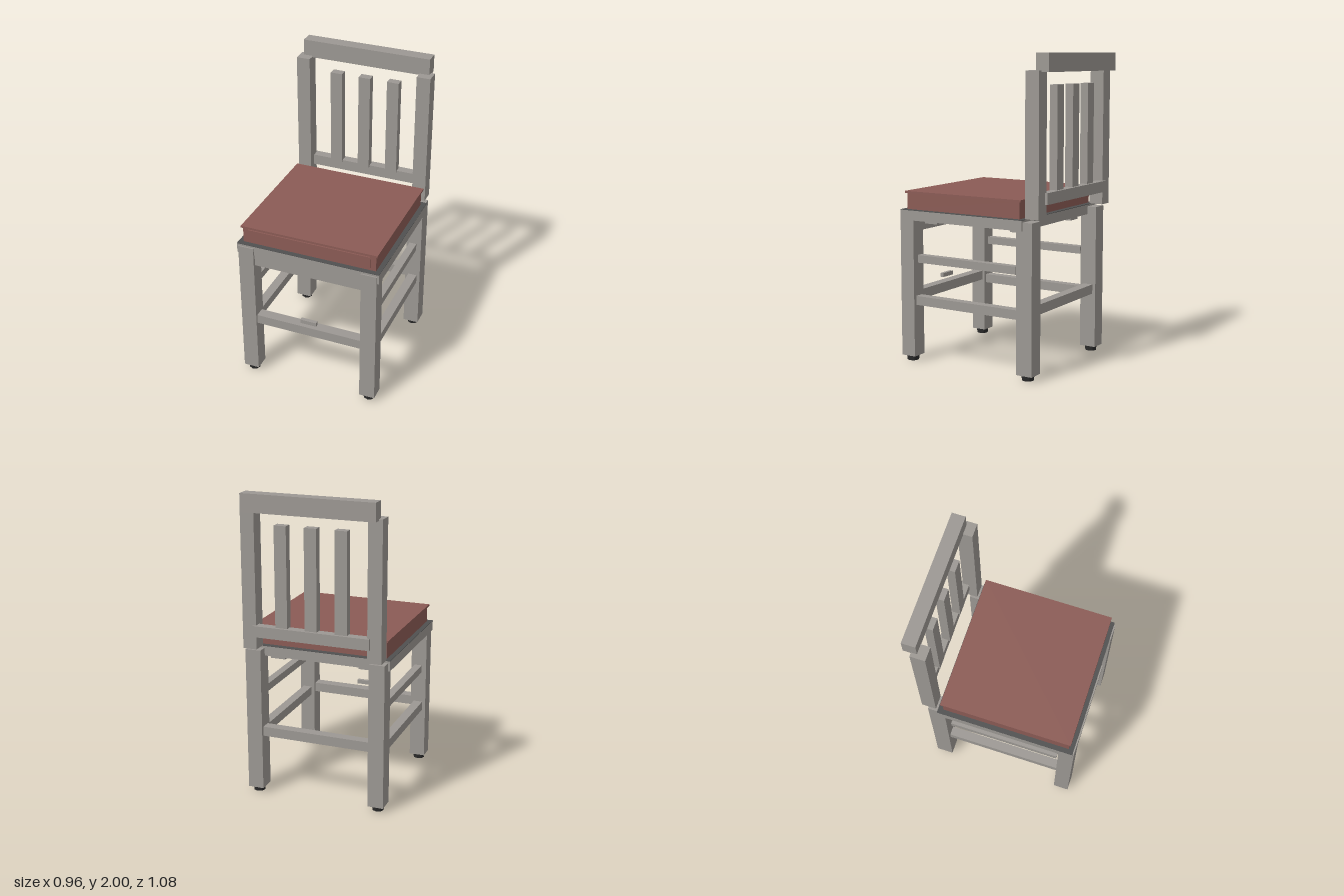
import * as THREE from 'three';

export function createModel() {
  const model = new THREE.Group();
  model.name = 'chair';

  const material = (name, color) => {
    const m = new THREE.MeshStandardMaterial({ color });
    m.name = name;
    return m;
  };
  const wood = material('greyWood', 0x9c9893);
  const fabric = material('redFabric', 0x8b5b55);
  const trim = material('darkTrim', 0x505050);
  const rubber = material('blackRubber', 0x2b2b2b);

  // Box given by its extents on each axis
  const box = (name, mat, [x0, x1], [y0, y1], [z0, z1]) => {
    const mesh = new THREE.Mesh(new THREE.BoxGeometry(x1 - x0, y1 - y0, z1 - z0), mat);
    mesh.position.set((x0 + x1) / 2, (y0 + y1) / 2, (z0 + z1) / 2);
    mesh.name = name;
    model.add(mesh);
    return mesh;
  };
  // Box repeated on both sides of the chair
  const pair = (name, mat, [x0, x1], y, z) => {
    box(name + 'Left', mat, [x0, x1], y, z);
    box(name + 'Right', mat, [-x1, -x0], y, z);
  };

  // Legs
  pair('frontLeg', wood, [0.362, 0.466], [0.035, 0.987], [0.438, 0.54]);
  pair('backLeg', wood, [0.362, 0.466], [0.035, 0.987], [-0.447, -0.335]);

  // Round feet
  const footShape = new THREE.CylinderGeometry(0.042, 0.038, 0.036, 8).toNonIndexed();
  footShape.computeVertexNormals();
  for (const x of [-0.414, 0.414]) {
    for (const z of [0.49, -0.391]) {
      const foot = new THREE.Mesh(footShape, rubber);
      foot.position.set(x, 0.018, z);
      foot.name = 'foot';
      model.add(foot);
    }
  }

  // Stretchers between the legs
  box('frontStretcher', wood, [-0.364, 0.364], [0.4, 0.463], [0.455, 0.525]);
  box('backStretcher', wood, [-0.364, 0.364], [0.4, 0.463], [-0.425, -0.36]);
  pair('lowerSideStretcher', wood, [0.384, 0.444], [0.377, 0.436], [-0.336, 0.439]);
  pair('upperSideStretcher', wood, [0.389, 0.439], [0.656, 0.706], [-0.315, 0.425]);
  box('stretcherPlate', wood, [-0.055, 0.055], [0.485, 0.512], [0.497, 0.522]);

  // Seat frame, front apron and corner blocks
  box('seatFrame', wood, [-0.478, 0.478], [0.935, 0.999], [-0.382, 0.531]);
  box('seatTrim', trim, [-0.478, 0.478], [0.999, 1.002], [-0.382, 0.531]);
  box('frontApron', wood, [-0.364, 0.364], [0.855, 0.936], [0.46, 0.522]);
  pair('frontCornerBlock', wood, [0.25, 0.35], [0.9, 0.936], [0.335, 0.43]);
  pair('backCornerBlock', wood, [0.25, 0.35], [0.9, 0.936], [-0.315, -0.22]);

  // Cushion with overhanging top and front panel
  box('cushionBody', fabric, [-0.446, 0.446], [1.002, 1.107], [-0.347, 0.498]);
  box('cushionTop', fabric, [-0.457, 0.457], [1.107, 1.12], [-0.36, 0.508]);
  box('cushionFrontPanel', fabric, [-0.41, 0.41], [1.022, 1.098], [0.497, 0.506]);

  // Backrest
  pair('backPost', wood, [0.367, 0.458], [1.008, 1.895], [-0.489, -0.394]);
  box('topRail', wood, [-0.432, 0.432], [1.885, 2.0], [-0.54, -0.453]);
  box('lowerBackRail', wood, [-0.385, 0.385], [1.093, 1.165], [-0.506, -0.446]);
  for (const x of [-0.196, 0, 0.196]) {
    box('backSlat', wood, [x - 0.04, x + 0.04], [1.152, 1.808], [-0.488, -0.434]);
  }

  return model;
}
